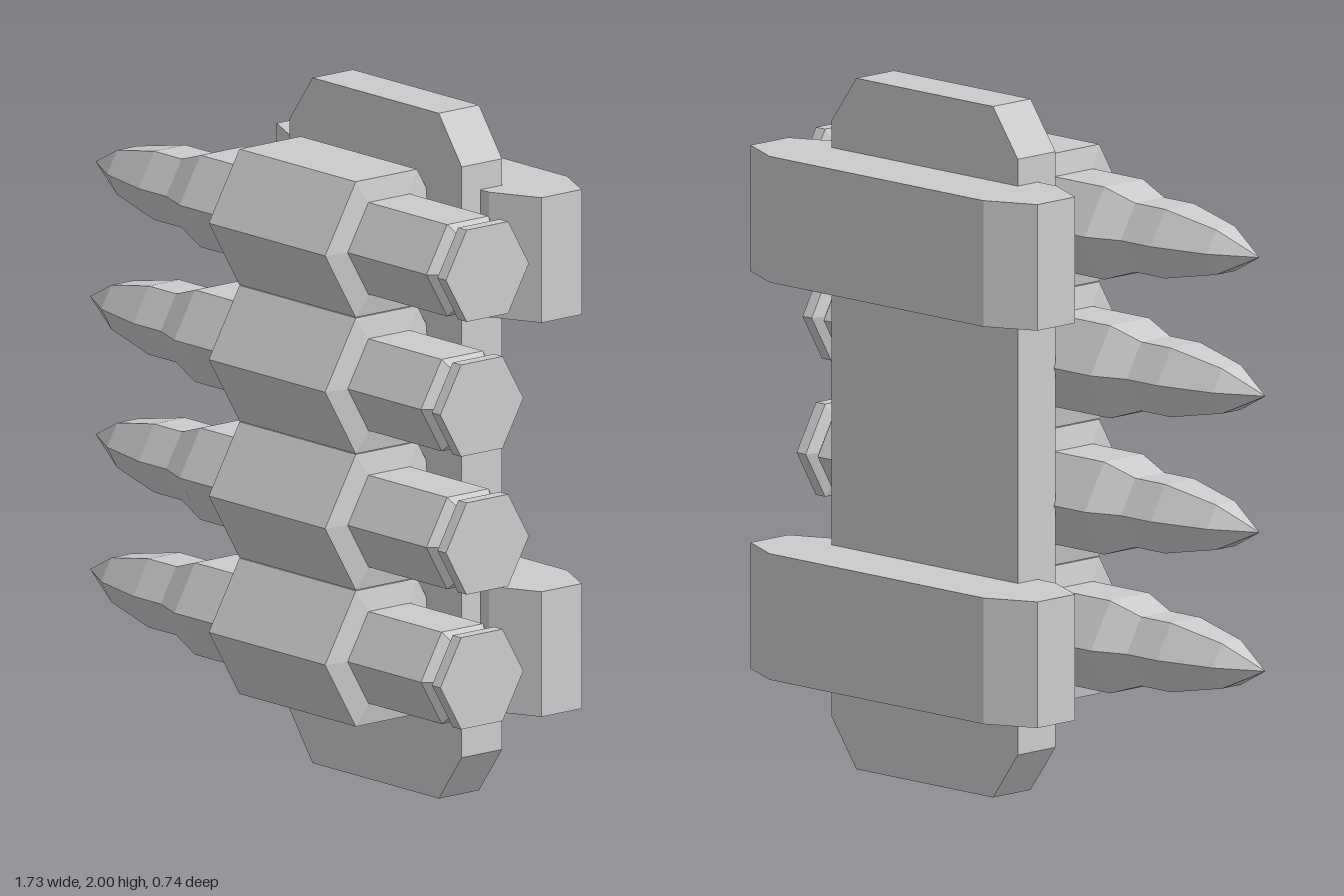
import * as THREE from 'three';

const grey = new THREE.MeshStandardMaterial({ color: 0xcccccc, flatShading: true });
const HEX = Math.cos(Math.PI / 6); // flat-to-centre distance over corner radius

// Six-sided turned part along x, corners facing front and back; profile is [x, half height]
function hexTurned(name, profile) {
  const points = profile.map(([x, h]) => new THREE.Vector2(h / HEX, x));
  const geometry = new THREE.LatheGeometry(points, 6).rotateZ(-Math.PI / 2);
  const mesh = new THREE.Mesh(geometry, grey);
  mesh.name = name;
  return mesh;
}

// Slab with four cut corners, centred on its own origin and extruded along z
function cutCornerSlab(name, width, height, cutX, cutY, depth) {
  const w = width / 2, h = height / 2;
  const shape = new THREE.Shape([
    [-w + cutX, -h], [w - cutX, -h], [w, -h + cutY], [w, h - cutY],
    [w - cutX, h], [-w + cutX, h], [-w, h - cutY], [-w, -h + cutY],
  ].map(([x, y]) => new THREE.Vector2(x, y)));
  const geometry = new THREE.ExtrudeGeometry(shape, { depth, bevelEnabled: false });
  geometry.translate(0, 0, -depth / 2);
  const mesh = new THREE.Mesh(geometry, grey);
  mesh.name = name;
  return mesh;
}

export function createModel() {
  const model = new THREE.Group();
  model.name = 'cartridgeHolder';

  // Upright backing plate
  const plate = cutCornerSlab('backingPlate', 0.75, 2, 0.1, 0.138, 0.15);
  plate.position.set(0.205, 1, -0.085);
  model.add(plate);

  // Two cross bars behind the plate, their cut corners seen from above
  [['lowerCrossBar', 0.452], ['upperCrossBar', 1.602]].forEach(([name, y]) => {
    const bar = cutCornerSlab(name, 1.155, 0.29, 0.147, 0.07, 0.365);
    bar.geometry.rotateX(-Math.PI / 2);
    bar.position.set(0.187, y, -0.225);
    model.add(bar);
  });

  // Four cartridges, alternately shifted sideways, each in a hexagonal sleeve
  const cartridgeProfile = [
    [-0.842, 0], [-0.705, 0.065], [-0.52, 0.1], [-0.4, 0.1], [-0.295, 0.134],
    [0.78, 0.134], [0.815, 0.1], [0.828, 0.134], [0.865, 0.134], [0.865, 0],
  ];
  const sleeveProfile = [
    [-0.094, 0], [-0.094, 0.134], [-0.082, 0.198], [0.425, 0.198], [0.437, 0.134], [0.437, 0],
  ];
  for (let i = 0; i < 4; i++) {
    const y = 0.44 + i * 0.398;
    const cartridge = hexTurned('cartridge', cartridgeProfile);
    cartridge.position.set(i % 2 ? 0 : -0.024, y, 0.138);
    const sleeve = hexTurned('sleeve', sleeveProfile);
    sleeve.position.set(0, y, 0.138);
    model.add(cartridge, sleeve);
  }
  return model;
}
